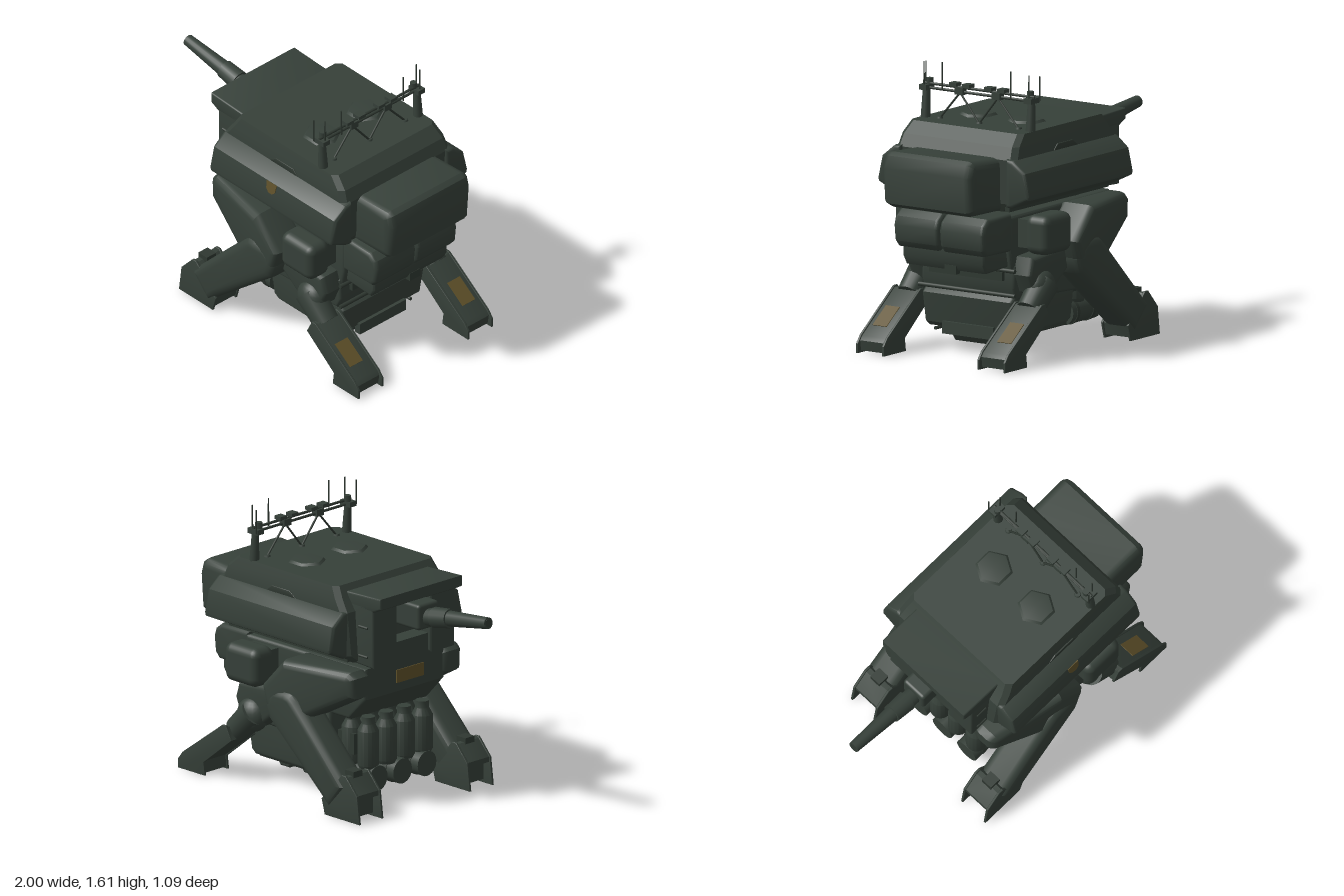
import * as THREE from 'three';
import { toCreasedNormals } from 'three/addons/utils/BufferGeometryUtils.js';
import { RoundedBoxGeometry } from 'three/addons/geometries/RoundedBoxGeometry.js';

export function createModel() {
  const root = new THREE.Group();
  root.name = 'walkingTank';
  const material = (name, color) => {
    const m = new THREE.MeshStandardMaterial({ color });
    m.name = name;
    return m;
  };
  const green = material('darkGreen', 0x364039);
  const dark = material('darkMetal', 0x2f3831);
  const ochre = material('ochre', 0x5e5029);

  const add = (name, geo, mat = green) => {
    const mesh = new THREE.Mesh(geo, mat);
    mesh.name = name;
    root.add(mesh);
  };
  // Copy reflected in z, with the corner order turned round
  const mirror = (geo) => {
    const g = geo.index ? geo.toNonIndexed() : geo.clone();
    for (const key of ['position', 'normal']) {
      const a = g.attributes[key];
      for (let i = 0; i < a.count; i += 3) {
        const p = [0, 2, 1].map((k) => [a.getX(i + k), a.getY(i + k), -a.getZ(i + k)]);
        p.forEach((v, k) => a.setXYZ(i + k, ...v));
      }
    }
    return g;
  };
  const pair = (name, geo, mat = green) => {
    add(name + 'Left', geo, mat);
    add(name + 'Right', mirror(geo), mat);
  };
  // Side outline (x, y) extruded from z0 to z1 with bevelled edges; flare(x) shifts the outer side in z
  const prism = (pts, z0, z1, b = 0.02, flare = null) => {
    const shape = new THREE.Shape(pts.map((p) => new THREE.Vector2(...p)));
    const g = new THREE.ExtrudeGeometry(shape, {
      depth: z1 - z0 - 2 * b, bevelEnabled: b > 0, bevelThickness: b, bevelSize: b,
      bevelOffset: -b, bevelSegments: 3,
    });
    g.translate(0, 0, z0 + b);
    const p = g.attributes.position;
    for (let i = 0; flare && i < p.count; i++) {
      if (p.getZ(i) > (z0 + z1) / 2) p.setZ(i, p.getZ(i) + flare(p.getX(i)));
    }
    return toCreasedNormals(g, 0.6);
  };
  // Box given by its limits; r rounds the edges
  const box = (x0, x1, y0, y1, z0, z1, r = 0) => {
    const s = [x1 - x0, y1 - y0, z1 - z0];
    const g = r ? new RoundedBoxGeometry(...s, 3, r) : new THREE.BoxGeometry(...s);
    return g.translate((x0 + x1) / 2, (y0 + y1) / 2, (z0 + z1) / 2);
  };
  // Round bar between two points
  const rod = (a, b, r0, r1 = r0, seg = 14) => {
    const A = new THREE.Vector3(...a), B = new THREE.Vector3(...b), d = B.clone().sub(A);
    const g = new THREE.CylinderGeometry(r1, r0, d.length(), seg);
    g.applyQuaternion(new THREE.Quaternion().setFromUnitVectors(new THREE.Vector3(0, 1, 0), d.normalize()));
    const c = A.add(B).multiplyScalar(0.5);
    return g.translate(c.x, c.y, c.z);
  };
  // Stack of chamfered rectangles: [y, x0, x1, halfWidth, chamfer]
  const loft = (levels) => {
    const pos = [], idx = [];
    for (const [y, a, b, w, c] of levels) {
      const ring = [[b, w - c], [b, c - w], [b - c, -w], [a + c, -w], [a, c - w], [a, w - c], [a + c, w], [b - c, w]];
      for (const [x, z] of ring) pos.push(x, y, z);
    }
    const top = (levels.length - 1) * 8;
    for (let l = 0; l < top; l += 8) {
      for (let i = 0; i < 8; i++) {
        const j = (i + 1) % 8;
        idx.push(l + i, l + j, l + 8 + j, l + i, l + 8 + j, l + 8 + i);
      }
    }
    for (let i = 1; i < 7; i++) idx.push(top, top + i, top + i + 1, 0, i + 1, i);
    const g = new THREE.BufferGeometry();
    g.setAttribute('position', new THREE.Float32BufferAttribute(pos, 3));
    g.setIndex(idx);
    return toCreasedNormals(g, 0.3);
  };

  // Turret
  add('turretBody', loft([
    [0.85, -0.28, 0.68, 0.33, 0.03], [0.9, -0.28, 0.71, 0.4, 0.03], [1.15, -0.26, 0.72, 0.41, 0.03],
    [1.22, -0.21, 0.69, 0.4, 0.03], [1.285, -0.17, 0.62, 0.385, 0.03]]));
  const section = [[-0.36, 1.16], [-0.41, 1.155], [-0.49, 1.09], [-0.52, 0.96], [-0.515, 0.94], [-0.4, 0.885], [-0.36, 0.885]];
  pair('sidePod', prism(section, -0.26, 0.74, 0.02).rotateY(Math.PI / 2));
  pair('sidePodRail', box(-0.24, 0.7, 0.855, 0.885, 0.33, 0.36), dark);
  pair('roofWedge', prism([[0.12, 1.155], [0.35, 1.155], [0.31, 1.19], [0.17, 1.19]], 0.38, 0.412, 0.003), dark);
  add('rearBustle', prism([[0.68, 0.85], [0.94, 0.855], [0.985, 0.88], [1, 1.08], [0.98, 1.15], [0.95, 1.17], [0.68, 1.155]],
    -0.31, 0.31, 0.05));
  const badge = prism([[-0.04, 0.032], [0.04, 0.032], [0.035, -0.015], [0.015, -0.032], [-0.015, -0.032], [-0.035, -0.01]], 0, 0.006, 0);
  add('podPatch', badge.rotateX(-0.21).translate(0.225, 1.057, 0.496), ochre);

  // Turret nose around the gun recess
  add('noseRoof', prism([[-0.46, 1.2], [-0.4, 1.17], [-0.18, 1.17], [-0.18, 1.25], [-0.46, 1.262]], -0.32, 0.32, 0.01));
  pair('noseCheek', prism([[-0.4, 0.84], [-0.2, 0.85], [-0.2, 1.2], [-0.4, 1.2]], 0.13, 0.32, 0.012));
  add('noseFloor', box(-0.38, -0.2, 0.84, 0.95, -0.15, 0.15));
  for (const y of [0.9, 1.07]) pair('cheekHinge', rod([-0.36, y, 0.32], [-0.29, y, 0.32], 0.008, 0.008, 8), dark);

  // Gun
  add('gunMantlet', box(-0.53, -0.26, 1.04, 1.19, -0.09, 0.07, 0.02));
  add('gunSleeve', rod([-0.6, 1.118, -0.01], [-0.5, 1.105, -0.01], 0.05));
  add('gunCollar', rod([-0.7, 1.138, -0.01], [-0.58, 1.117, -0.01], 0.054, 0.06));
  add('gunBarrel', rod([-1, 1.18, -0.01], [-0.68, 1.135, -0.01], 0.033, 0.046, 18));
  add('gunBore', rod([-0.998, 1.18, -0.01], [-1.001, 1.1804, -0.01], 0.023), dark);

  // Roof hatches
  for (const z of [-0.17, 0.16]) {
    add('hatchRim', new THREE.CylinderGeometry(0.095, 0.11, 0.016, 6).rotateY(Math.PI / 2).translate(0.275, 1.291, z));
    add('hatchCap', toCreasedNormals(new THREE.ConeGeometry(0.095, 0.01, 6).rotateY(Math.PI / 2), 0.3).translate(0.275, 1.304, z));
  }

  // Antenna frame
  const mx = 0.49;
  for (const y of [1.45, 1.475]) add('crossbar', rod([mx, y, -0.38], [mx, y, 0.38], 0.008, 0.008, 8), dark);
  pair('mastPost', rod([mx + 0.01, 1.28, 0.36], [mx, 1.46, 0.36], 0.028, 0.02, 10));
  pair('mastHead', box(mx - 0.04, mx + 0.04, 1.44, 1.47, 0.335, 0.385));
  pair('mastCap', rod([mx - 0.01, 1.47, 0.345], [mx - 0.01, 1.505, 0.345], 0.02, 0.02, 8));
  pair('strutJoint', box(mx - 0.02, mx + 0.02, 1.435, 1.475, 0.1, 0.155));
  for (const z of [0, 0.27]) {
    pair('strut', rod([mx, 1.445, 0.13], [mx, 1.285, z], 0.006, 0.006, 6), dark);
    pair('strutFoot', rod([mx, 1.283, z], [mx, 1.295, z], 0.02, 0.016, 10));
  }
  for (const z of [0.075, 0.165]) pair('sensorPad', box(mx - 0.025, mx + 0.025, 1.48, 1.5, z - 0.025, z + 0.025));
  for (const [x, y, z] of [[0.455, 1.59, 0.39], [0.515, 1.6, 0.36], [0.515, 1.61, 0.235]]) {
    pair('antenna', rod([x, 1.45, z], [x, y, z], 0.005, 0.004, 6), dark);
  }

  // Hull
  add('turretRing', rod([-0.08, 0.8, 0], [-0.08, 0.86, 0], 0.25, 0.25, 28), dark);
  add('upperHull', prism([[-0.33, 0.64], [-0.2, 0.5], [0.6, 0.5], [0.62, 0.6], [0.62, 0.81], [-0.33, 0.82]], -0.31, 0.31, 0.02));
  add('nosePatch', box(-0.336, -0.33, 0.69, 0.765, -0.07, 0.14), ochre);
  add('lowerHull', prism([[-0.06, 0.3], [0.57, 0.33], [0.6, 0.4], [0.59, 0.53], [-0.06, 0.53]], -0.32, 0.32, 0.02));
  add('belly', prism([[0.01, 0.34], [0.04, 0.15], [0.08, 0.125], [0.55, 0.125], [0.58, 0.15], [0.61, 0.32], [0.58, 0.35]], -0.31, 0.31, 0.02));
  for (const x of [0.1, 0.27, 0.455]) {
    const low = x < 0.2 ? 0.09 : 0.042;
    add('bellyRib', prism([[x - 0.055, 0.135], [x - 0.07, 0.09], [x - 0.035, low], [x + 0.035, low], [x + 0.07, 0.09], [x + 0.055, 0.135]],
      -0.17, 0.17, 0.012));
  }
  add('bellyTailPlate', box(0.56, 0.602, 0.095, 0.165, -0.175, 0.175));
  pair('bellyRail', rod([0.02, 0.11, 0.25], [0.56, 0.11, 0.25], 0.01, 0.01, 8), dark);

  // Rear and side stowage
  const locker = [[0.6, 0.61], [0.84, 0.615], [0.87, 0.65], [0.88, 0.74], [0.865, 0.79], [0.82, 0.825], [0.6, 0.825]];
  pair('rearLocker', prism(locker, 0.002, 0.31, 0.025));
  add('rearTray', prism([[0.58, 0.52], [0.8, 0.51], [0.83, 0.56], [0.83, 0.63], [0.58, 0.63]], -0.28, 0.28, 0.015));
  add('towHook', box(0.78, 0.82, 0.49, 0.54, -0.08, 0), dark);
  add('rearBar', box(0.58, 0.62, 0.44, 0.49, -0.25, 0.25), dark);
  for (const y of [0.36, 0.5]) add('rearRail', rod([0.605, y, -0.33], [0.605, y, 0.33], 0.012, 0.012, 8), dark);
  pair('sideLocker', box(0.32, 0.58, 0.6, 0.825, 0.37, 0.53, 0.05));
  pair('sideLockerMount', box(0.36, 0.55, 0.63, 0.79, 0.29, 0.4));

  // Bottles and tanks under the nose
  const bottle = [[0, 0.21], [0.05, 0.21], [0.06, 0.23], [0.06, 0.43], [0.038, 0.47], [0.038, 0.51], [0, 0.51]];
  for (const x of [-0.25, -0.125]) {
    for (const z of [-0.21, -0.07, 0.07, 0.21]) {
      const g = new THREE.LatheGeometry(bottle.map((p) => new THREE.Vector2(...p)), 16);
      add('bottle', toCreasedNormals(g, 0.5).translate(x, 0, z));
    }
  }
  add('bottleRack', box(-0.19, -0.02, 0.28, 0.4, -0.26, 0.26), dark);
  for (const z of [-0.19, 0, 0.19]) {
    add('tank', rod([-0.31, 0.155, z], [-0.04, 0.155, z], 0.073, 0.073, 20));
    for (const x of [-0.24, -0.09]) add('tankStrap', rod([x - 0.012, 0.155, z], [x + 0.012, 0.155, z], 0.077, 0.077, 20), dark);
  }
  add('tankBracket', box(-0.05, 0.06, 0.16, 0.34, -0.24, 0.24), dark);

  // Front legs, splayed, with feet open at the toe
  pair('frontHip', prism([[-0.345, 0.67], [-0.35, 0.79], [-0.31, 0.82], [0.12, 0.82], [0.29, 0.64], [0.25, 0.5], [0.18, 0.44], [-0.05, 0.51]],
    0.28, 0.525, 0.045, (x) => Math.min(0, x - 0.05) * 0.24));
  pair('frontLeg', prism([[-0.39, 0.19], [0.01, 0.6], [0.05, 0.633], [0.1, 0.648], [0.2, 0.643], [0.25, 0.6], [0.263, 0.53], [0.235, 0.45],
    [-0.18, 0.11], [-0.26, 0.04]], 0.335, 0.53, 0.05, (x) => (0.1 - x) * 0.03));
  pair('frontFoot', prism([[-0.43, 0.02], [-0.225, 0.02], [-0.21, 0.09], [-0.36, 0.25], [-0.39, 0.25], [-0.475, 0.16], [-0.475, 0.13], [-0.43, 0.12]],
    0.345, 0.515, 0.004));
  const footPlate = [[-0.5, 0], [-0.225, 0], [-0.2, 0.09], [-0.36, 0.26], [-0.39, 0.26], [-0.48, 0.16]];
  for (const z of [0.335, 0.51]) pair('frontFootPlate', prism(footPlate, z, z + 0.015, 0.003));
  pair('frontFootLug', box(-0.4, -0.33, 0.2, 0.275, 0.4, 0.47), dark);

  // Rear legs, with side plates standing proud of the sole and toe
  pair('rearHip', prism([[0.1, 0.8], [0.3, 0.6], [0.56, 0.58], [0.59, 0.48], [0.55, 0.38], [0.42, 0.33], [0.22, 0.48], [0.05, 0.6]], 0.28, 0.43, 0.03));
  pair('rearKnee', new THREE.SphereGeometry(0.1, 20, 14).scale(1, 1, 0.75).translate(0.465, 0.4, 0.405));
  pair('rearThigh', rod([0.44, 0.42, 0.41], [0.58, 0.285, 0.41], 0.085, 0.075, 16));
  pair('rearLeg', prism([[0.535, 0.25], [0.755, 0.08], [0.75, 0.012], [0.92, 0.012], [0.93, 0.07], [0.91, 0.095], [0.6, 0.322], [0.57, 0.322]],
    0.325, 0.505, 0.004));
  const legPlate = [[0.53, 0.25], [0.75, 0.075], [0.74, 0], [0.95, 0], [0.95, 0.055], [0.915, 0.1], [0.6, 0.33], [0.57, 0.33]];
  for (const z of [0.32, 0.498]) pair('rearLegPlate', prism(legPlate, z, z + 0.014, 0.002));
  const patch = new THREE.BoxGeometry(0.155, 0.006, 0.095).rotateZ(-Math.atan2(0.227, 0.31));
  pair('rearLegPatch', patch.translate(0.78, 0.191, 0.427), ochre);
  return root;
}
